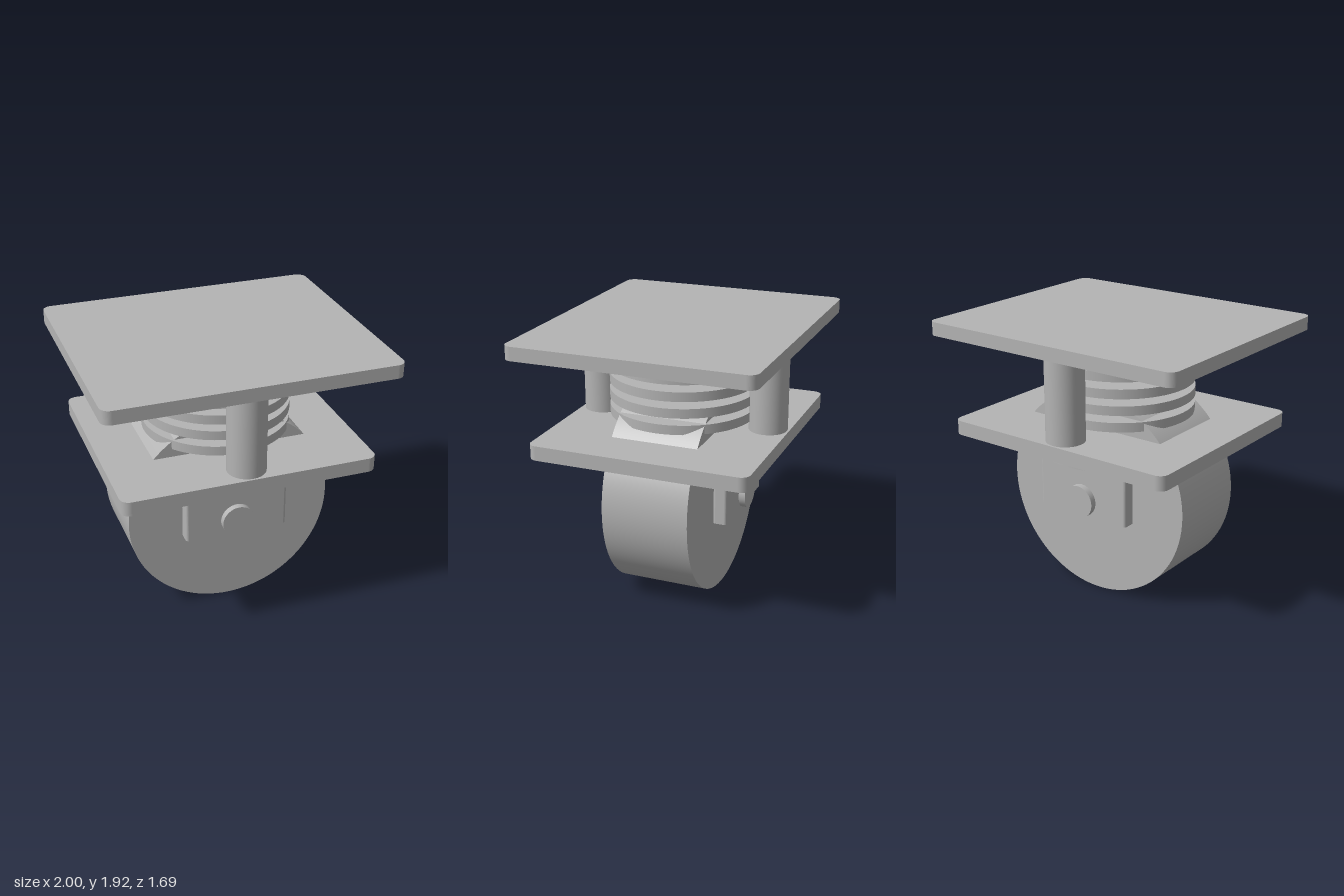
import * as THREE from 'three';

const steel = new THREE.MeshStandardMaterial({ color: 0xb4b4b4 });
steel.name = 'grey steel';

export function createModel() {
  const model = new THREE.Group();
  model.name = 'springCaster';

  function add(name, geometry, x = 0, y = 0, z = 0) {
    const mesh = new THREE.Mesh(geometry, steel);
    mesh.name = name;
    mesh.position.set(x, y, z);
    model.add(mesh);
    return mesh;
  }

  // Upright cylinder between two heights
  function post(name, radius, y0, y1, z = 0) {
    return add(name, new THREE.CylinderGeometry(radius, radius, y1 - y0, 72), 0, (y0 + y1) / 2, z);
  }

  // Horizontal slab with rounded vertical edges
  function slab(name, hx, hz, r, y0, y1, z = 0) {
    const s = new THREE.Shape();
    s.moveTo(-hx + r, -hz);
    s.lineTo(hx - r, -hz);
    s.absarc(hx - r, -hz + r, r, -Math.PI / 2, 0);
    s.lineTo(hx, hz - r);
    s.absarc(hx - r, hz - r, r, 0, Math.PI / 2);
    s.lineTo(-hx + r, hz);
    s.absarc(-hx + r, hz - r, r, Math.PI / 2, Math.PI);
    s.lineTo(-hx, -hz + r);
    s.absarc(-hx + r, -hz + r, r, Math.PI, Math.PI * 1.5);
    const g = new THREE.ExtrudeGeometry(s, { depth: y1 - y0, bevelEnabled: false, curveSegments: 8 });
    g.rotateX(-Math.PI / 2);
    return add(name, g, 0, y0, z);
  }

  // Mounting plates and swivel disc
  slab('topPlate', 1, 0.847, 0.065, 1.83, 1.925);
  slab('lowerPlate', 0.885, 0.768, 0.065, 1.12, 1.222);
  post('swivelDisc', 0.615, 1.03, 1.12);

  // Central column with its stack of rings
  post('column', 0.345, 1.222, 1.83);
  for (let i = 0; i < 5; i++) {
    const y = 1.282 + i * 0.1155;
    post('springRing', 0.515, y, y + 0.066);
  }

  // Guide posts and fork brackets, front and back
  for (const side of [1, -1]) {
    post('guidePost', 0.134, 1.222, 1.83, side * 0.62);
    slab('forkBracket', 0.367, 0.05, 0.02, 0.62, 1.03, side * 0.405);
  }

  // Wheel and axle
  const wheelY = 0.733;
  const wheel = new THREE.CylinderGeometry(0.731, 0.731, 0.615, 96).rotateX(Math.PI / 2);
  add('wheel', wheel, 0, wheelY, 0);
  const axle = new THREE.CylinderGeometry(0.115, 0.115, 1, 48).rotateX(Math.PI / 2);
  add('axle', axle, 0, wheelY, 0);

  return model;
}
